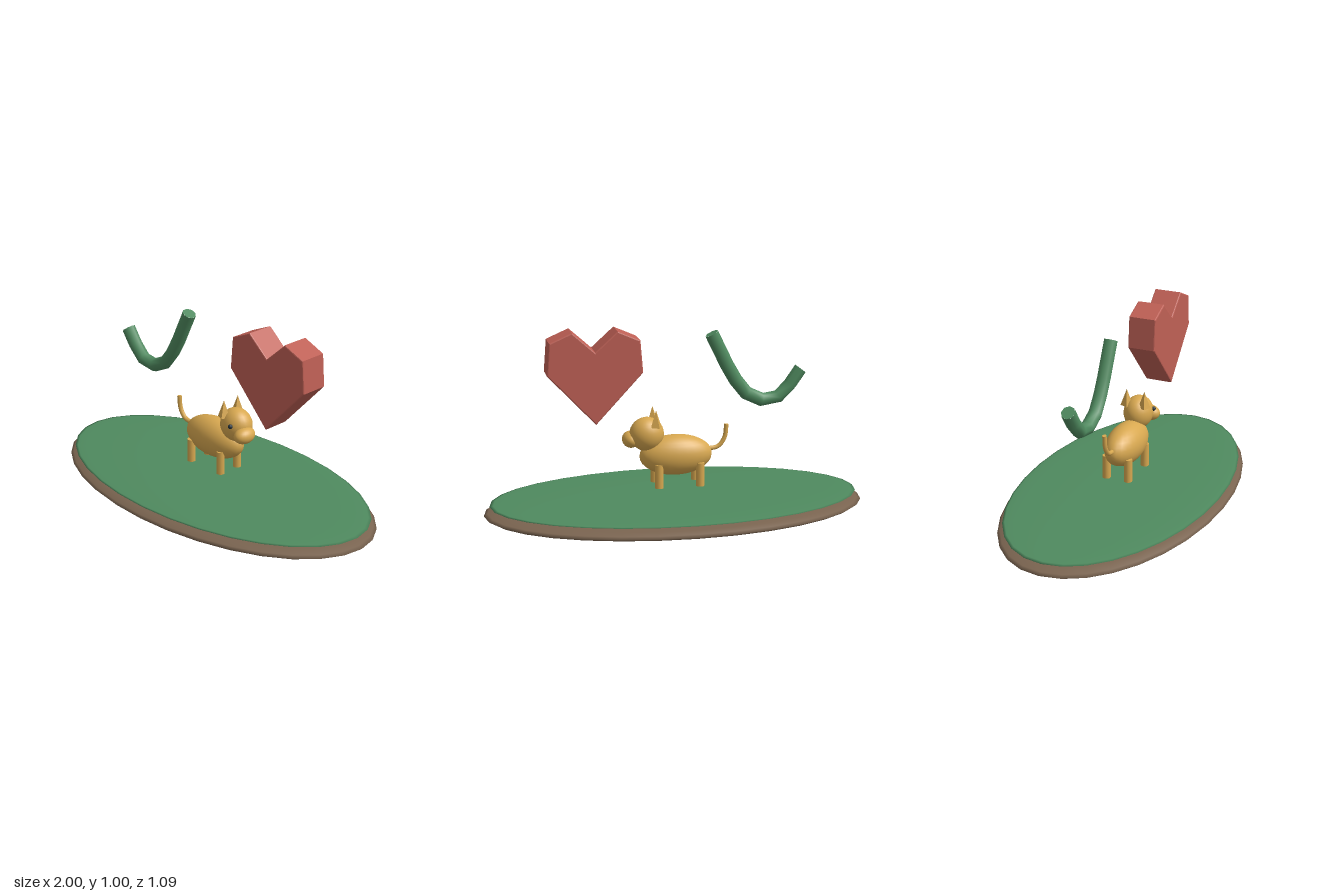
import * as THREE from 'three';

const paint = (color, extra = {}) => new THREE.MeshStandardMaterial({ color, ...extra });
const GREEN = paint(0x4f8a5f);
const EARTH = paint(0x7a6450);
const FUR = paint(0xd8a850);
const RED = paint(0xbf6055, { flatShading: true });
const DARK = paint(0x22303a);

export function createModel() {
  const model = new THREE.Group();

  const add = (name, geometry, material, x = 0, y = 0, z = 0, parent = model) => {
    const mesh = new THREE.Mesh(geometry, material);
    mesh.name = name;
    mesh.position.set(x, y, z);
    parent.add(mesh);
    return mesh;
  };
  const ellipsoid = (rx, ry, rz, w = 24, h = 16) =>
    new THREE.SphereGeometry(1, w, h).scale(rx, ry, rz);

  // Round-ended path with flat end discs
  const cappedTube = (name, points, segments, radius, sides, material, parent) => {
    const curve = new THREE.CatmullRomCurve3(points.map(([x, y]) => new THREE.Vector3(x, y, 0)));
    add(name, new THREE.TubeGeometry(curve, segments, radius, sides), material, 0, 0, 0, parent);
    for (const t of [0, 1]) {
      const p = curve.getPointAt(t);
      const out = curve.getTangentAt(t).multiplyScalar(t ? 1 : -1);
      const cap = add(name + 'End', new THREE.CircleGeometry(radius, sides), material, p.x, p.y, p.z, parent);
      cap.quaternion.setFromUnitVectors(new THREE.Vector3(0, 0, 1), out);
    }
  };

  // Flattened oval ground with a grass layer on top
  add('soil', ellipsoid(1, 0.057, 0.545, 32, 16), EARTH, 0, 0.057, 0);
  add('grass', ellipsoid(0.97, 0.015, 0.52, 32, 16), GREEN, 0, 0.105, 0);

  // Dog, facing +x
  const dog = new THREE.Group();
  dog.name = 'dog';
  model.add(dog);
  add('body', ellipsoid(0.192, 0.107, 0.093), FUR, 0, 0.328, 0, dog);
  add('head', ellipsoid(0.09, 0.089, 0.077), FUR, 0.153, 0.446, 0, dog);
  add('snout', ellipsoid(0.045, 0.043, 0.064), FUR, 0.233, 0.416, 0.023, dog);
  add('eye', ellipsoid(0.012, 0.012, 0.012, 12, 8), DARK, 0.182, 0.464, 0.074, dog);
  for (const side of [1, -1]) {
    for (const x of [-0.117, 0.1]) {
      add('leg', new THREE.CylinderGeometry(0.022, 0.022, 0.125, 12), FUR, x, 0.232, side * 0.061, dog);
    }
    const ear = add('ear', new THREE.ConeGeometry(0.033, 0.09, 4), paint(0xd8a850, { flatShading: true }),
      0.113, 0.535, side * 0.05, dog);
    ear.rotation.y = Math.PI / 8;
  }
  cappedTube('tail', [[-0.17, 0.35], [-0.225, 0.36], [-0.26, 0.405], [-0.27, 0.477]], 12, 0.012, 8, FUR, dog);

  // Floating curved stroke
  cappedTube('curvedStroke',
    [[-0.665, 0.755], [-0.565, 0.624], [-0.49, 0.595], [-0.385, 0.63], [-0.31, 0.72], [-0.188, 0.958]],
    8, 0.036, 8, GREEN, model);

  // Faceted heart block with a fine bevel
  const bevel = 0.006;
  const half = [[0, 0.533], [0.237, 0.787], [0.224, 0.946], [0.116, 0.993]];
  const outline = [...half, [0, 0.889], ...half.slice(1).reverse().map(([x, y]) => [-x, y])];
  const heart = new THREE.ExtrudeGeometry(
    new THREE.Shape(outline.map(([x, y]) => new THREE.Vector2(x, y))),
    { depth: 0.138, bevelEnabled: true, bevelSize: bevel, bevelThickness: bevel, bevelSegments: 2 });
  add('heart', heart, RED, 0.425, 0, -0.069);

  return model;
}
